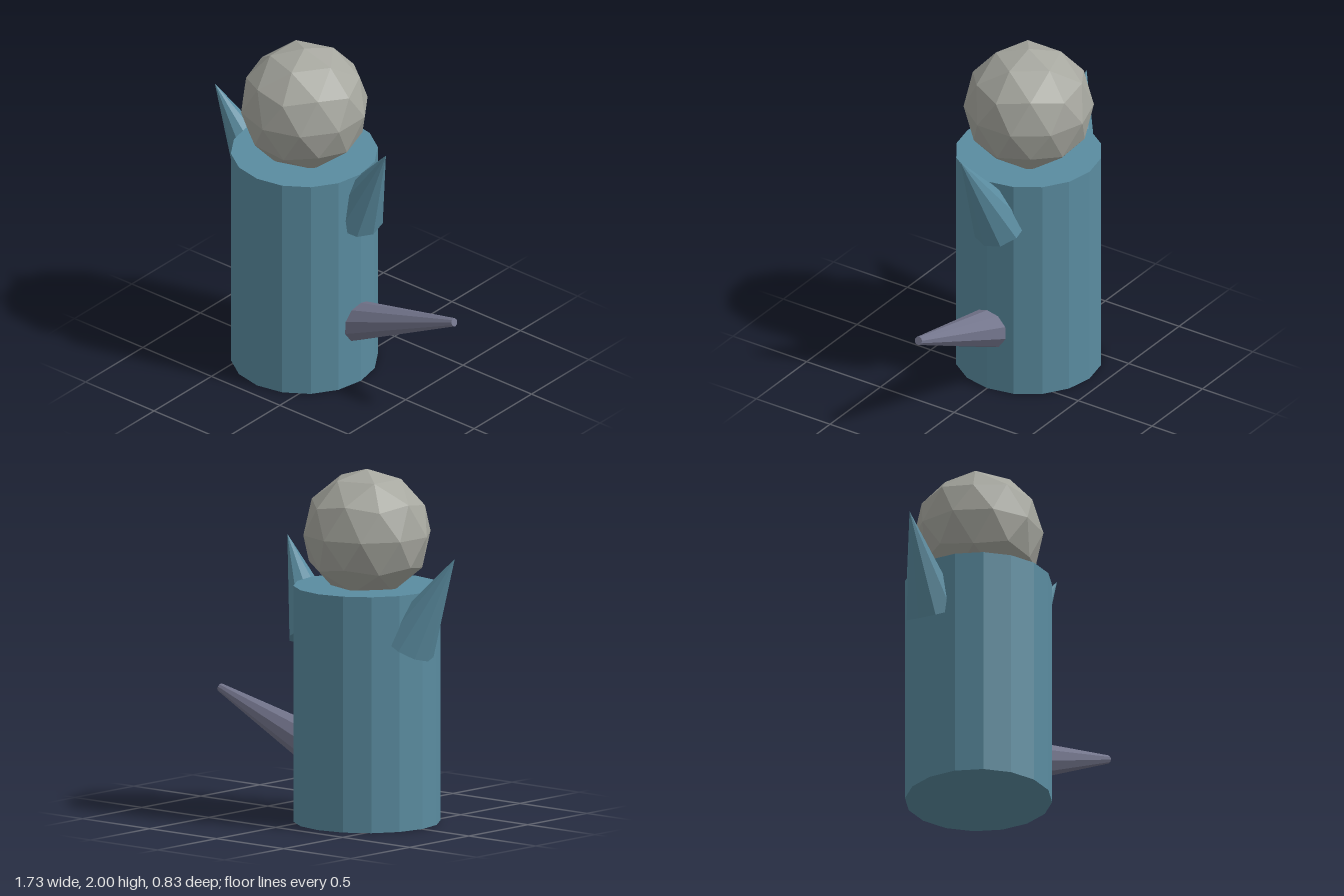
import * as THREE from 'three';

const CX = -0.24; // x of the body axis
const UP = new THREE.Vector3(0, 1, 0);

function addMesh(group, name, geometry, color) {
  const mesh = new THREE.Mesh(geometry, new THREE.MeshStandardMaterial({ color, flatShading: true }));
  mesh.name = name;
  group.add(mesh);
  return mesh;
}

// Tapered limb between two points; spin turns its facets about the axis
function addTaper(group, name, base, tip, rBase, rTip, spin, color) {
  const a = new THREE.Vector3(...base), b = new THREE.Vector3(...tip);
  const geometry = rTip > 0
    ? new THREE.CylinderGeometry(rTip, rBase, a.distanceTo(b), 10)
    : new THREE.ConeGeometry(rBase, a.distanceTo(b), 10);
  geometry.rotateY(THREE.MathUtils.degToRad(spin));
  const mesh = addMesh(group, name, geometry, color);
  mesh.position.copy(a).add(b).multiplyScalar(0.5);
  mesh.quaternion.setFromUnitVectors(UP, b.sub(a).normalize());
}

export function createModel() {
  const group = new THREE.Group();
  const blue = 0x5a8ca0, stone = 0xa6a79f, slate = 0x73758c;

  // Body
  addMesh(group, 'body', new THREE.CylinderGeometry(0.413, 0.413, 1.34, 16), blue).position.set(CX, 0.67, 0);

  // Head: faceted ball with a five-fold corner pointing up
  const ball = new THREE.IcosahedronGeometry(0.365, 1);
  ball.rotateZ(-Math.atan(2 / (1 + Math.sqrt(5))));
  addMesh(group, 'head', ball, stone).position.set(CX, 1.635, 0);

  // Pair of pointed fins, mirrored about the body axis
  for (const [name, s] of [['leftFin', 1], ['rightFin', -1]]) {
    addTaper(group, name, [CX + s * 0.338, 1.045, -0.042], [CX + s * 0.625, 1.555, 0.035], 0.165, 0, s * 11, blue);
  }

  // Tail, rooted inside the body
  addTaper(group, 'tail', [0, 0.329, 0], [0.855, 0.635, 0], 0.135, 0.024, 18, slate);

  return group;
}
